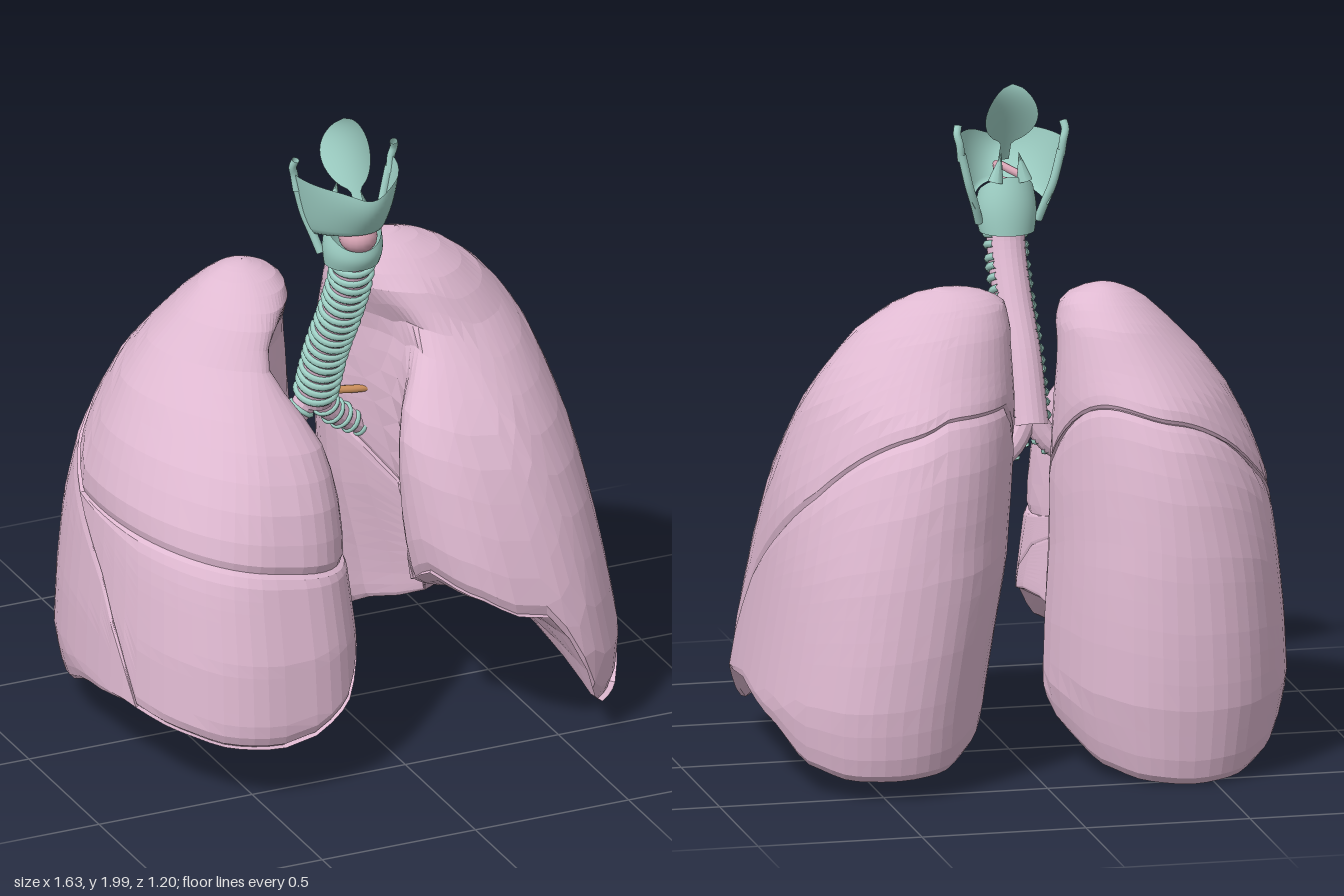
import * as THREE from 'three';
import { ParametricGeometry } from 'three/addons/geometries/ParametricGeometry.js';

const V = (x, y, z) => new THREE.Vector3(x, y, z);
const { lerp, clamp, smoothstep } = THREE.MathUtils;

// Piecewise linear lookup: rows of [key, value, value, ...] in rising key order
function lookup(rows, k) {
  let i = 1;
  while (i < rows.length - 1 && k > rows[i][0]) i++;
  const a = rows[i - 1], b = rows[i];
  const t = clamp((k - a[0]) / (b[0] - a[0]), 0, 1);
  return a.slice(1).map((v, n) => lerp(v, b[n + 1], t));
}

// Lung sections: [height, inner, outer, back, front], measured sideways from the middle
const LEFT = [[0, .13, .8, -.57, .58], [.26, .11, .82, -.6, .6], [.45, .08, .79, -.595, .58], [.68, .04, .755, -.575, .52],
  [.87, .02, .725, -.545, .455], [1, .01, .69, -.51, .38], [1.13, .01, .645, -.45, .26], [1.23, .015, .585, -.375, .16],
  [1.34, .02, .49, -.3, .1], [1.41, .04, .395, -.235, .02], [1.44, .08, .335, -.195, -.03], [1.457, .14, .27, -.16, -.08]];
const RIGHT = [[0, .1, .76, -.57, .58], [.26, .05, .815, -.6, .6], [.45, .055, .805, -.595, .58], [.68, .07, .78, -.575, .52],
  [.87, .07, .755, -.545, .455], [1, .08, .705, -.51, .38], [1.13, .09, .635, -.45, .26], [1.23, .1, .56, -.375, .16],
  [1.34, .11, .455, -.3, .1], [1.4, .135, .39, -.235, .02], [1.43, .17, .345, -.195, -.03], [1.447, .22, .3, -.16, -.08]];

// Height of the lower rim, every 22.5 degrees: outer side, front, inner side, back
const LEFT_RIM = [.27, .25, .11, .11, .44, .52, .57, .48, .31, .2, .13, .08, .07, .07, .1, .2];
const RIGHT_RIM = [.22, .26, .23, .2, .19, .27, .4, .43, .27, .13, .05, .02, .01, .02, .06, .13];

// Oblique fissure: height by depth
const FISSURE = [[-.5, 1.13], [-.42, 1.03], [-.3, .88], [-.15, .76], [.05, .6], [.2, .4], [.3, .22], [.45, -.1]];

// Point of a lung section: 0 = outer side, quarter turn = front, half turn = inner side
function section(rows, a, y) {
  const [inner, outer, back, front] = lookup(rows, y);
  const c = Math.cos(a), s = Math.sin(a);
  const frontInner = c < 0 && s > 0;
  const p = frontInner ? lerp(.6, 1, smoothstep(y, .95, 1.25)) : lerp(.9, 1.12, smoothstep(y, .6, 1.1));
  const bend = (v, e) => Math.sign(v) * Math.abs(v) ** e;
  const z = (back + front) / 2 + (front - back) / 2 * bend(s, frontInner ? .9 : p);
  let x = (inner + outer) / 2 + (outer - inner) / 2 * bend(c, c < 0 ? Math.min(p, .95) : p);
  // hollow where the airways enter
  const hollow = smoothstep(y, -.1, .4) * (1 - smoothstep(y, 1.2, 1.42));
  if (c < 0) x += .16 * hollow * -c * Math.exp(-(((z - .09) / .14) ** 2));
  return [x, z];
}

function solve(rows, a, heightAt) {
  let lo = -.2, hi = 1.45;
  for (let i = 0; i < 24; i++) {
    const m = (lo + hi) / 2;
    if (m < heightAt(...section(rows, a, m))) lo = m; else hi = m;
  }
  return lo;
}

// Closed lobe between two rims, with rounded lips and domed caps
function lobeGeometry(rows, side, low, high, lowCap, highCap, power) {
  const N = 56, STEPS = 14, CAPS = [.02, .3, .55, .78, .92];
  const list = [];
  CAPS.forEach((k) => list.push([0, .96, k]));
  list.push([0, .96, 1], [.02, .988, 1]);
  for (let i = 1; i < STEPS; i++) list.push([i / STEPS, 1, 1]);
  list.push([.98, .988, 1], [1, .96, 1]);
  [...CAPS].reverse().forEach((k) => list.push([1, .96, k]));
  const rims = Array.from({ length: N }, (_, i) => {
    const a = i / N * Math.PI * 2, lo = low(a);
    return [a, lo, Math.max(lo, high(a))];
  });
  const pos = [], idx = [];
  list.forEach(([t, lip, k], j) => {
    for (const [a, lo, hi] of rims) {
      const edge = lerp(lo, hi, 1 - (1 - t) ** power);
      const [inner, outer, back, front] = lookup(rows, edge);
      let [x, z] = section(rows, a, edge), y = edge;
      x = lerp((inner + outer) / 2, x, lip);
      z = lerp((back + front) / 2, z, lip);
      if (k < 1) {
        const cap = t ? highCap : lowCap;
        x = lerp(cap[0], x, k);
        z = lerp(cap[2], z, k);
        y = lerp(cap[1], edge, k * k);
      }
      pos.push(side * x, y, z);
    }
    if (!j) return;
    for (let i = 0; i < N; i++) {
      const n = (i + 1) % N, b = (j - 1) * N, u = j * N;
      if (side > 0) idx.push(b + i, u + i, b + n, b + n, u + i, u + n);
      else idx.push(b + i, b + n, u + i, b + n, u + n, u + i);
    }
  });
  const g = new THREE.BufferGeometry();
  g.setAttribute('position', new THREE.Float32BufferAttribute(pos, 3));
  g.setIndex(idx);
  g.computeVertexNormals();
  return g;
}

export function createModel() {
  const model = new THREE.Group();
  model.name = 'lungsAndAirway';
  const material = (name, color, extra) => Object.assign(new THREE.MeshStandardMaterial({ color, ...extra }), { name });
  const lungPink = material('lungPink', 0xdfb9d1, { flatShading: true });
  const membranePink = material('membranePink', 0xd9a6b6);
  const cartilage = material('cartilageTeal', 0xa0d2c7, { side: THREE.DoubleSide });
  const vessel = material('vesselOrange', 0xc48a58);
  const add = (name, geometry, mat, parent = model) => {
    const m = new THREE.Mesh(geometry, mat);
    m.name = name;
    parent.add(m);
    return m;
  };
  const tube = (name, pts, r, mat) =>
    add(name, new THREE.TubeGeometry(new THREE.CatmullRomCurve3(pts), 16, r, 10), mat);

  // Lungs: two lobes on the left, three on the right
  for (const [side, rows, rimTable, word] of [[1, LEFT, LEFT_RIM, 'left'], [-1, RIGHT, RIGHT_RIM, 'right']]) {
    const rim = (a) => {
      const f = a / (Math.PI * 2) * 16, i = Math.floor(f) % 16;
      return lerp(rimTable[i], rimTable[(i + 1) % 16], smoothstep(f % 1, 0, 1) * .5 + (f % 1) * .5);
    };
    // the oblique fissure climbs towards the inner side
    const oblique = (a) => Math.max(rim(a), solve(rows, a,
      (x, z) => lookup(FISSURE, z - .2 * (1 - smoothstep(x, .05, .4)))[0]));
    const level = (a) => Math.max(oblique(a), solve(rows, a, (x) => .635 + .18 * x));
    const apex = rows[rows.length - 1][0];
    const base = [.43, .35, -.02], middle = [.43, .62, -.02], upper = [.43, .72, -.02], top = [.25, apex + .006, -.12];
    add(word + 'LowerLobe', lobeGeometry(rows, side, rim, oblique, base, middle, 1), lungPink);
    if (side < 0) add('rightMiddleLobe', lobeGeometry(rows, side, oblique, level, middle, upper, 1), lungPink);
    add(word + 'UpperLobe', lobeGeometry(rows, side, side < 0 ? level : oblique, () => apex,
      side < 0 ? upper : middle, top, 1.7), lungPink);
  }

  // C-shaped cartilage rings along an airway, open at the back
  const rings = (name, curve, count, from, to, R, r) => {
    const group = new THREE.Group();
    group.name = name;
    const arc = 4.5;
    const g = new THREE.TorusGeometry(R, r, 6, 18, arc).rotateZ(-arc / 2);
    for (let i = 0; i < count; i++) {
      const t = lerp(from, to, i / (count - 1));
      const axis = curve.getTangentAt(t).negate();
      const front = V(0, 0, 1).addScaledVector(axis, -axis.z).normalize();
      const ring = add('ring', g, cartilage, group);
      ring.quaternion.setFromRotationMatrix(new THREE.Matrix4().makeBasis(front, axis.clone().cross(front), axis));
      ring.rotateX(.07 * Math.sin(i * 2.3));
      ring.position.copy(curve.getPointAt(t));
    }
    model.add(group);
  };

  // Windpipe and main bronchi
  const windpipe = new THREE.CatmullRomCurve3([V(-.04, 1.62, .22), V(-.035, 1.5, .19), V(-.04, 1.35, .125), V(-.05, 1.2, .05), V(-.055, 1.0, -.03)]);
  add('windpipe', new THREE.TubeGeometry(windpipe, 24, .058, 20), lungPink);
  rings('windpipeRings', windpipe, 18, .13, .95, .058, .012);
  for (const [word, pts] of [['left', [V(-.05, 1.04, -.02), V(0, .95, -.04), V(.1, .88, -.06), V(.28, .82, -.06)]],
    ['right', [V(-.06, 1.04, -.02), V(-.11, .96, -.03), V(-.2, .9, -.04), V(-.36, .82, -.04)]]]) {
    const curve = new THREE.CatmullRomCurve3(pts);
    add(word + 'Bronchus', new THREE.TubeGeometry(curve, 16, .037, 12), lungPink);
    rings(word + 'BronchusRings', curve, 8, .2, .85, .037, .008);
  }
  tube('rightUpperBranch', [V(-.13, .95, -.03), V(-.22, .97, 0), V(-.34, 1.02, .02)], .02, cartilage);
  tube('rightLowerBranch', [V(-.15, .93, -.02), V(-.22, .84, .05), V(-.33, .74, .08)], .02, cartilage);
  tube('rightUpperVessel', [V(-.17, 1.0, .03), V(-.24, 1.01, .06), V(-.36, 1.04, .08)], .01, vessel);
  tube('rightLowerVessel', [V(-.17, 1.0, .03), V(-.21, .93, .08), V(-.33, .86, .11)], .01, vessel);
  tube('leftVessel', [V(.03, .99, -.07), V(.09, 1.0, -.03), V(.22, 1.02, .02)], .012, vessel);

  // Shield cartilage: a folded plate, open at the back, with a shallow notch at the top
  add('shieldCartilage', new ParametricGeometry((u, v, out) => {
    const q = 2 * u - 1, c = Math.cos(q * Math.PI / 2);
    const bottom = lerp(1.63, 1.675, c), topY = 1.835 - .03 * Math.exp(-((q / .25) ** 2));
    out.set(-.04 + Math.sin(q * Math.PI / 2) * (.11 + .05 * v ** .7), lerp(bottom, topY, v),
      .14 + (.17 + .05 * Math.sin(v * 1.8)) * c ** 1.15);
  }, 32, 10), cartilage);

  // Ring cartilage: low in front, tall at the back
  add('ringCartilage', new ParametricGeometry((u, v, out) => {
    const a = u * Math.PI * 2, back = (1 - Math.sin(a)) / 2;
    const y = lerp(1.545, lerp(1.61, 1.72, back), v);
    const bulge = 1 + .1 * Math.sin(v * Math.PI);
    out.set(-.04 + .083 * bulge * Math.cos(a), y, .205 + .15 * (y - 1.56) + .08 * bulge * Math.sin(a));
  }, 32, 8), cartilage);

  // Horns and small paired cartilages
  for (const s of [-1, 1]) {
    const X = (d) => -.04 + s * d;
    tube('upperHorn', [V(X(.152), 1.78, .145), V(X(.158), 1.83, .14), V(X(.165), 1.86, .145), V(X(.16), 1.885, .155)], .012, cartilage);
    tube('lowerHorn', [V(X(.152), 1.8, .14), V(X(.128), 1.7, .145), V(X(.108), 1.64, .16), V(X(.09), 1.58, .18)], .013, cartilage);
    const cone = add('pivotCartilage', new THREE.ConeGeometry(.024, .09, 8), cartilage);
    cone.position.set(X(.035), 1.75, .16);
    cone.rotation.z = s * .2;
    tube('vocalFold', [V(X(.035), 1.72, .17), V(X(.02), 1.72, .24), V(X(.004), 1.72, .32)], .012, membranePink);
  }

  // Membrane below the shield
  const membrane = add('frontMembrane', new THREE.SphereGeometry(1, 18, 12), membranePink);
  membrane.scale.set(.058, .05, .06);
  membrane.position.set(-.04, 1.645, .25);

  // Leaf-shaped flap on a short stalk, standing over the airway
  add('flap', new ParametricGeometry((u, v, out) => {
    const q = 2 * u - 1, y = lerp(1.74, 2, v);
    const leaf = clamp((y - 1.8) / .2, 0, 1);
    const w = Math.max(.016 * (1 - leaf), .08 * Math.sin(Math.PI * leaf ** .9) ** .55);
    out.set(-.05 + q * w, y, .29 - .15 * v + .03 * v ** 6 - .025 * (q * w / .08) ** 2);
  }, 14, 24), cartilage);

  return model;
}
